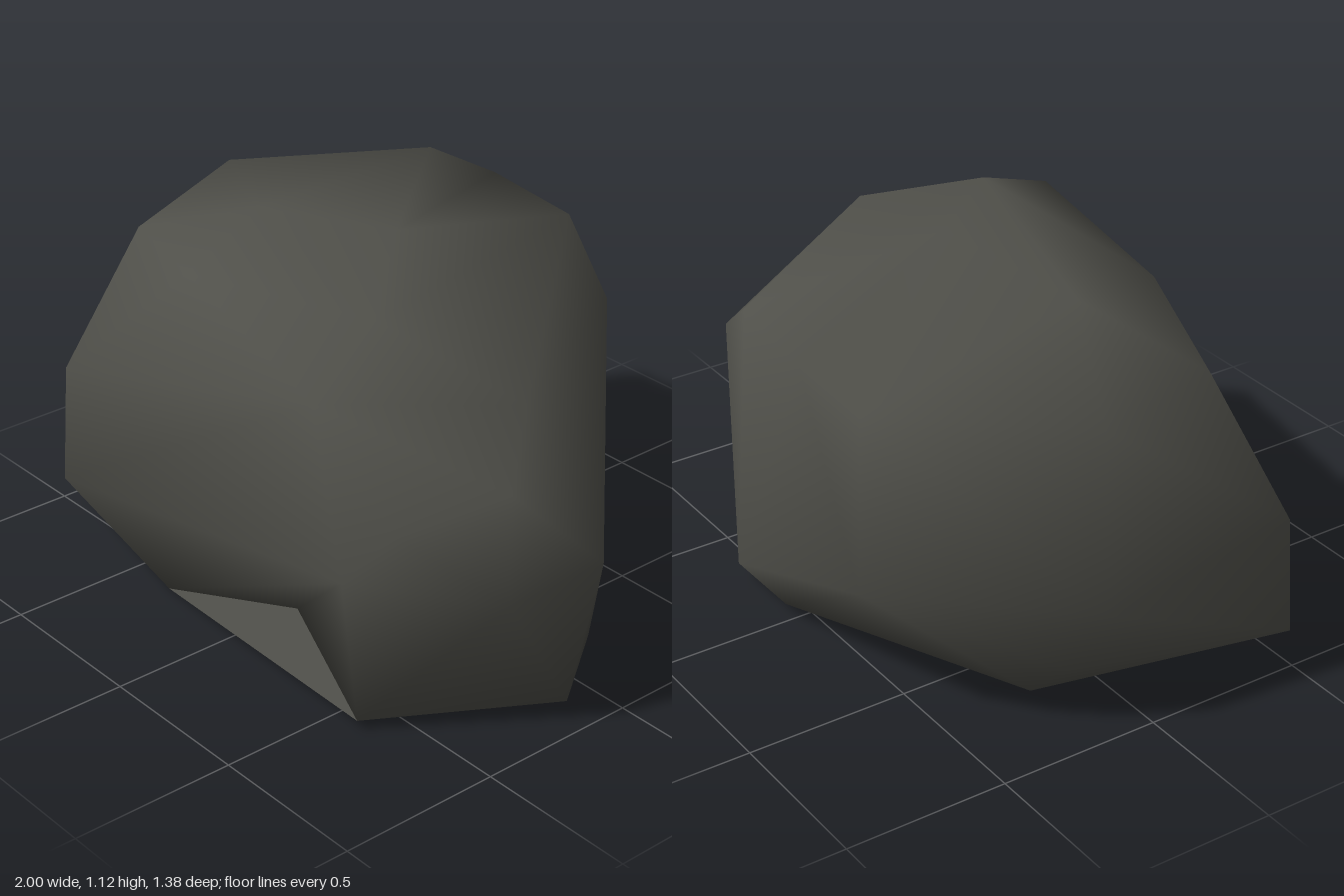
import * as THREE from 'three';
import { ConvexGeometry } from 'three/addons/geometries/ConvexGeometry.js';
import { mergeVertices } from 'three/addons/utils/BufferGeometryUtils.js';

const vec = (p) => new THREE.Vector3(...p);

// Corners of the boulder, grouped from the ground up
const heel = [-0.32, 0.01, 0.59];
const toe = [0.6, 0.03, 0.63];
const base = [
  heel, toe, [-0.96, 0.09, 0.52], [0.89, 0.015, 0.11], [0.67, 0, -0.19],
  [0.27, 0.06, -0.59], [0.02, 0.045, -0.575], [-0.79, 0.09, -0.27], [-0.9, 0.2, -0.22],
];
const belly = [
  [-1, 0.41, -0.16], [-0.96, 0.47, 0.49], [0.61, 0.5, 0.69], [0.93, 0.45, 0.375],
  [1, 0.51, 0.1], [-0.59, 0.45, -0.695],
];
const shoulder = [
  [-0.98, 0.975, -0.18], [-0.82, 0.935, 0.29], [-0.36, 0.99, 0.45], [0.43, 0.945, 0.635],
  [0.71, 0.65, 0.59], [0.88, 0.75, 0.33], [0.74, 0.9, 0.15], [0.32, 0.84, -0.57],
  [0.08, 1.01, -0.64], [-0.3, 1.01, -0.69], [-0.6, 1.0, -0.69],
];
const crown = [[-0.47, 1.06, 0.1], [0.01, 1.115, -0.02], [0.34, 1.065, 0.34]];

// The notch under the front starts as a hull corner and is pushed inwards
const notchStart = vec([0.155, 0, 0.62]);
const notch = [0.08, 0.06, 0.42];

// Wrap the corners in a hull and weld it, so the shading can be smooth
function weldedHull(points) {
  const hull = new ConvexGeometry(points);
  hull.deleteAttribute('normal');
  return mergeVertices(hull, 1e-4);
}

export function createModel() {
  const group = new THREE.Group();
  const stone = new THREE.MeshStandardMaterial({ color: 0x50504a });
  stone.name = 'dark grey stone';

  // Main body with the notch pressed in
  const body = weldedHull([...[...base, ...belly, ...shoulder, ...crown].map(vec), notchStart]);
  const position = body.attributes.position;
  const corner = new THREE.Vector3();
  for (let i = 0; i < position.count; i++) {
    corner.fromBufferAttribute(position, i);
    if (corner.distanceTo(notchStart) < 1e-3) position.setXYZ(i, ...notch);
  }
  body.computeVertexNormals();
  const boulder = new THREE.Mesh(body, stone);
  boulder.name = 'boulder';
  group.add(boulder);

  // Thin ledge closing the notch from below
  const ledgeShape = new ConvexGeometry([heel, toe, notch, [0.02, 0.045, 0.63]].map(vec));
  const ledge = new THREE.Mesh(ledgeShape, stone);
  ledge.name = 'lowerLedge';
  group.add(ledge);
  return group;
}
